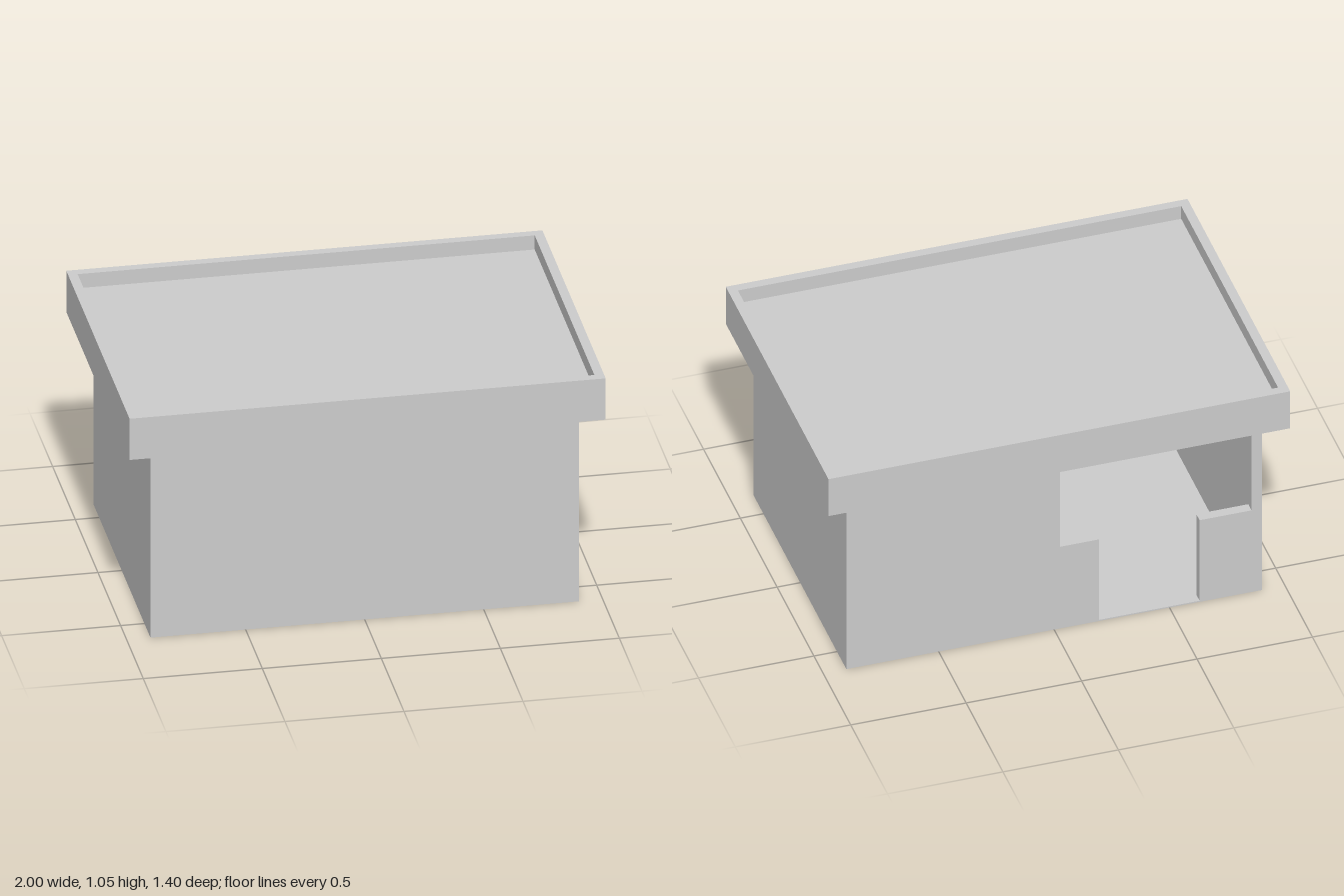
import * as THREE from 'three';

const material = new THREE.MeshStandardMaterial({ color: 0xcccccc, flatShading: true });

// Box given by its minimum and maximum corners
function box(name, [x0, y0, z0], [x1, y1, z1]) {
  const mesh = new THREE.Mesh(new THREE.BoxGeometry(x1 - x0, y1 - y0, z1 - z0), material);
  mesh.position.set((x0 + x1) / 2, (y0 + y1) / 2, (z0 + z1) / 2);
  mesh.name = name;
  return mesh;
}

export function createModel() {
  const group = new THREE.Group();
  group.name = 'kiosk';

  const X = 0.9, BACK = -0.627, FRONT = 0.633; // outer faces of the walls
  const T = 0.045, H = 0.86, FLOOR = 0.006;    // wall thickness, wall height, floor top
  const COUNTER = 0.42;                        // height of the low wall parts

  // Floor and closed walls
  group.add(
    box('floor', [-X + T, 0, BACK + T], [X - T, FLOOR, FRONT - T]),
    box('doorSill', [-0.63, 0, BACK], [-0.195, FLOOR, BACK + T]),
    box('frontWall', [-X, 0, FRONT - T], [X, H, FRONT]),
    box('leftWall', [X - T, 0, BACK + T], [X, H, FRONT - T]),
    box('rightWall', [-X, 0, BACK], [-X + T, H, FRONT - T]),
    box('lowWall', [-X + T, 0, BACK], [-0.63, COUNTER, BACK + T])
  );

  // Back wall with a stepped edge beside the doorway
  const outline = new THREE.Shape([
    [X, 0], [X, H], [-0.025, H], [-0.025, COUNTER], [-0.195, COUNTER], [-0.195, 0],
  ].map(([x, y]) => new THREE.Vector2(x, y)));
  const backWall = new THREE.Mesh(
    new THREE.ExtrudeGeometry(outline, { depth: T, bevelEnabled: false }), material);
  backWall.position.z = BACK;
  backWall.name = 'backWall';
  group.add(backWall);

  // Overhanging flat roof
  const RX = 1, RZ = 0.698, RIM = 0.04, DECK = 0.985, TOP = 1.05;
  group.add(box('roofSlab', [-RX, H, -RZ], [RX, DECK, RZ]));

  // Raised rim around the roof
  const rect = (Type, x, z) => new Type([
    [-x, -z], [x, -z], [x, z], [-x, z],
  ].map(([a, b]) => new THREE.Vector2(a, b)));
  const ring = rect(THREE.Shape, RX, RZ);
  ring.holes.push(rect(THREE.Path, RX - RIM, RZ - RIM));
  const rim = new THREE.Mesh(
    new THREE.ExtrudeGeometry(ring, { depth: TOP - DECK, bevelEnabled: false }), material);
  rim.rotation.x = -Math.PI / 2;
  rim.position.y = DECK;
  rim.name = 'roofRim';
  group.add(rim);

  return group;
}
